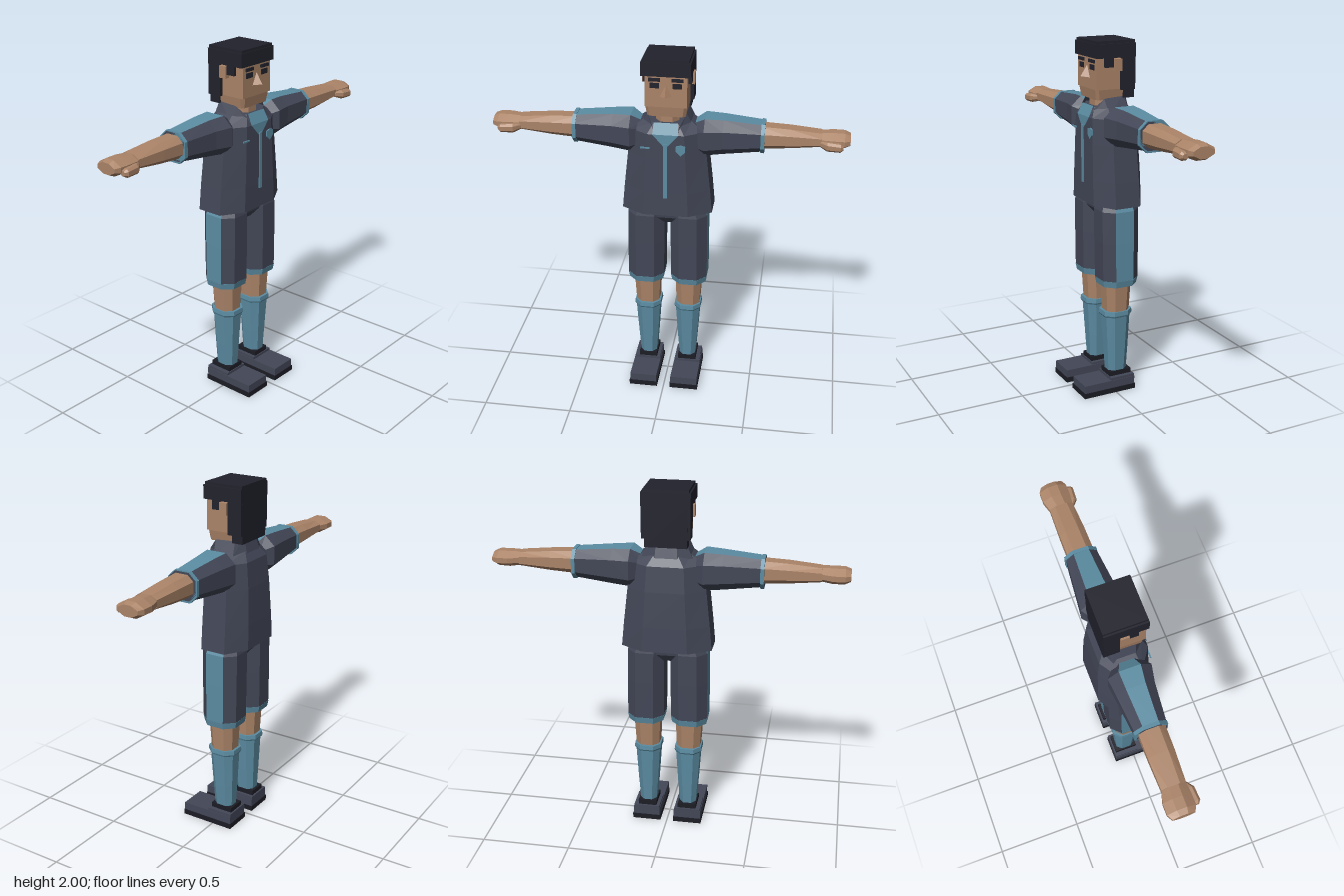
import * as THREE from 'three';

const mat = (name, color) => Object.assign(new THREE.MeshStandardMaterial({ color }), { name });

// Faceted geometry from a flat list of triangle corners
function facets(points) {
  const g = new THREE.BufferGeometry();
  g.setAttribute('position', new THREE.Float32BufferAttribute(points.flat(), 3));
  g.computeVertexNormals();
  return g;
}

// Eight-sided loft along y; each section is [y, centreX, centreZ, halfX, halfZ].
// The side numbered accentSide (0 is +x, 4 is -x) uses the second material.
function loft(sections, accentSide = -1, k = 0.5) {
  const corners = [[1, -k], [1, k], [k, 1], [-k, 1], [-1, k], [-1, -k], [-k, -1], [k, -1]];
  const rings = sections.map(([y, cx, cz, hx, hz]) => corners.map(([a, b]) => [cx + a * hx, y, cz + b * hz]));
  const main = [], accent = [];
  for (let r = 0; r + 1 < rings.length; r++) {
    for (let i = 0; i < 8; i++) {
      const j = (i + 1) % 8, lo = rings[r], hi = rings[r + 1];
      (i === accentSide ? accent : main).push(lo[j], lo[i], hi[i], lo[j], hi[i], hi[j]);
    }
  }
  const first = rings[0], last = rings[rings.length - 1];
  for (let i = 1; i < 7; i++) {
    main.push(first[0], first[i], first[i + 1], last[0], last[i + 1], last[i]);
  }
  const g = facets([...main, ...accent]);
  if (accent.length) {
    g.addGroup(0, main.length, 0);
    g.addGroup(main.length, accent.length, 1);
  }
  return g;
}

// Box from its limits
function box(x0, x1, y0, y1, z0, z1) {
  return new THREE.BoxGeometry(x1 - x0, y1 - y0, z1 - z0).translate((x0 + x1) / 2, (y0 + y1) / 2, (z0 + z1) / 2);
}

// Loft along +x; each section is [x, bottomY, topY, backZ, frontZ]. Accent side 4 faces up.
function limb(sections, accentSide, k) {
  const s = sections.map(([x, y0, y1, z0, z1]) => [x, -(y0 + y1) / 2, (z0 + z1) / 2, (y1 - y0) / 2, (z1 - z0) / 2]);
  return loft(s, accentSide, k).rotateZ(-Math.PI / 2);
}

// Reflected copy across x = 0 with corner order corrected
function mirrored(geometry) {
  const g = geometry.index ? geometry.toNonIndexed() : geometry;
  const p = g.attributes.position, out = [];
  for (let i = 0; i < p.count; i += 3) {
    for (const j of [i, i + 2, i + 1]) out.push([-p.getX(j), p.getY(j), p.getZ(j)]);
  }
  const m = facets(out);
  if (!geometry.index) geometry.groups.forEach((q) => m.addGroup(q.start, q.count, q.materialIndex));
  return m;
}

export function createModel() {
  const model = new THREE.Group();
  model.name = 'footballer';
  const cloth = mat('dark cloth', 0x434757);
  const teal = mat('teal trim', 0x5b8ca2);
  const skin = mat('skin', 0xab8468);
  const hair = mat('hair', 0x22222d);
  const sole = mat('sole', 0x1c1c25);

  const add = (name, geometry, material) => {
    const mesh = new THREE.Mesh(geometry, material);
    mesh.name = name;
    model.add(mesh);
  };
  const pair = (name, geometry, material) => {
    add('left ' + name, geometry, material);
    add('right ' + name, mirrored(geometry), material);
  };

  // Shirt body, with an outline that flares to the hem
  add('shirt', loft([
    [1.11, 0, -0.042, 0.25, 0.148], [1.25, 0, -0.041, 0.237, 0.146], [1.45, 0, -0.038, 0.215, 0.14],
    [1.59, 0, -0.032, 0.2, 0.132], [1.645, 0, -0.03, 0.13, 0.1],
  ]), cloth);

  // Open collar, higher at the back; faces emitted both ways
  const low = [[0.065, 1.58, 0.1], [0.145, 1.61, 0.02], [0.14, 1.62, -0.1], [0.06, 1.63, -0.14], [0, 1.63, -0.14]];
  const high = [[0.07, 1.63, 0.085], [0.105, 1.69, 0.03], [0.1, 1.71, -0.09], [0.055, 1.72, -0.115], [0, 1.72, -0.115]];
  const band = [];
  for (let i = 0; i < 4; i++) {
    const a = low[i], b = low[i + 1], c = high[i + 1], d = high[i];
    band.push(a, b, c, a, c, d, a, c, b, a, d, c);
  }
  pair('collar', facets(band), cloth);

  // Neck opening, placket and chest patches
  const L = [-0.07, 1.592, 0.105], R = [0.07, 1.592, 0.105];
  const TL = [-0.065, 1.65, 0.076], TR = [0.065, 1.65, 0.076];
  add('neck insert', facets([L, [0, 1.515, 0.108], R, L, R, TR, L, TR, TL]), teal);
  add('placket', box(-0.01, 0.01, 1.22, 1.54, 0.107, 0.113), teal);
  const badge = new THREE.Shape([[0.057, 1.53], [0.057, 1.5], [0.083, 1.475], [0.108, 1.5], [0.108, 1.53], [0.083, 1.537]]
    .map(([x, y]) => new THREE.Vector2(x, y)));
  add('chest badge', new THREE.ExtrudeGeometry(badge, { depth: 0.008, bevelEnabled: false }).translate(0, 0, 0.1), teal);
  add('chest strip', box(-0.135, -0.085, 1.508, 1.516, 0.1, 0.107), teal);

  // Sleeves with a stripe along the top, cuffs, arms and hands
  pair('sleeve', limb([
    [0.13, 1.47, 1.62, -0.1, 0.03], [0.2, 1.45, 1.66, -0.155, 0.08],
    [0.3, 1.46, 1.655, -0.145, 0.06], [0.52, 1.485, 1.635, -0.125, 0.04],
  ], 4), [cloth, teal]);
  pair('sleeve cuff', limb([[0.5, 1.475, 1.64, -0.132, 0.045], [0.52, 1.475, 1.64, -0.132, 0.045]]), teal);
  pair('forearm', limb([
    [0.5, 1.5, 1.625, -0.112, 0.03], [0.65, 1.51, 1.618, -0.112, 0.028], [0.82, 1.527, 1.603, -0.108, 0.02],
  ]), skin);
  pair('hand', limb([
    [0.82, 1.527, 1.603, -0.108, 0.02], [0.88, 1.52, 1.606, -0.125, 0.025],
    [0.94, 1.522, 1.605, -0.125, 0.025], [0.97, 1.535, 1.594, -0.108, 0.01],
  ], -1, 0.35), skin);
  pair('thumb', limb([
    [0.81, 1.54, 1.57, 0, 0.02], [0.85, 1.525, 1.575, 0, 0.052], [0.92, 1.525, 1.57, 0.01, 0.056], [0.935, 1.535, 1.56, 0.015, 0.045],
  ]), skin);

  // Neck and head
  add('neck', loft([[1.58, 0, -0.025, 0.065, 0.075], [1.7, 0, -0.025, 0.062, 0.075]]), skin);
  add('head', box(-0.112, 0.112, 1.74, 1.95, -0.12, 0.08), skin);
  add('jaw', loft([[1.685, 0, -0.02, 0.103, 0.092], [1.74, 0, -0.02, 0.112, 0.1]], -1, 0.85), skin);
  const tip = [0, 1.805, 0.12], top = [0, 1.865, 0.08], nl = [-0.032, 1.8, 0.08], nr = [0.032, 1.8, 0.08];
  add('nose', facets([nl, tip, top, tip, nr, top, nl, nr, tip]), skin);
  pair('ear', box(0.11, 0.141, 1.84, 1.905, -0.06, -0.015), skin);
  pair('eyebrow', box(0.03, 0.092, 1.883, 1.9, 0.08, 0.088), hair);
  pair('eye', box(0.035, 0.085, 1.845, 1.873, 0.079, 0.084), hair);

  // Block-cut hair
  add('hair cap', box(-0.132, 0.132, 1.91, 1.985, -0.145, 0.088), hair);
  add('hair crown', box(-0.122, 0.122, 1.985, 2, -0.145, 0.083), hair);
  add('back hair', box(-0.115, 0.115, 1.69, 1.91, -0.145, -0.08), hair);
  pair('side hair', box(0.108, 0.131, 1.735, 1.912, -0.144, -0.062), hair);
  pair('sideburn', box(0.108, 0.13, 1.86, 1.912, -0.015, 0.035), hair);

  // Shorts with a stripe down the outside and a trimmed hem
  add('hips', loft([[1.025, 0, -0.037, 0.05, 0.06], [1.07, 0, -0.037, 0.12, 0.095], [1.13, 0, -0.037, 0.2, 0.105]]), cloth);
  pair('shorts leg', loft([
    [0.68, 0.124, -0.037, 0.103, 0.108], [0.9, 0.122, -0.037, 0.104, 0.111],
    [1.08, 0.12, -0.037, 0.103, 0.111], [1.13, 0.11, -0.037, 0.09, 0.1],
  ], 0), [cloth, teal]);
  pair('shorts hem', loft([[0.645, 0.124, -0.037, 0.098, 0.102], [0.682, 0.124, -0.037, 0.104, 0.109]]), teal);

  // Knees, socks and shoes
  pair('knee', loft([[0.47, 0.118, -0.035, 0.066, 0.068], [0.66, 0.12, -0.035, 0.075, 0.078]]), skin);
  pair('sock', loft([[0.1, 0.117, -0.038, 0.046, 0.056], [0.25, 0.117, -0.037, 0.057, 0.064], [0.46, 0.117, -0.035, 0.07, 0.075]]), teal);
  pair('sock band', loft([[0.452, 0.117, -0.035, 0.073, 0.08], [0.462, 0.117, -0.035, 0.077, 0.086], [0.487, 0.117, -0.035, 0.075, 0.084]]), teal);
  pair('shoe sole', box(0.038, 0.202, 0, 0.03, -0.123, 0.2), sole);
  pair('shoe upper', box(0.042, 0.198, 0.03, 0.075, -0.12, 0.197), cloth);
  pair('shoe heel', box(0.045, 0.195, 0.075, 0.09, -0.12, 0.03), cloth);
  pair('shoe collar', box(0.064, 0.17, 0.09, 0.117, -0.11, 0.025), sole);

  return model;
}
